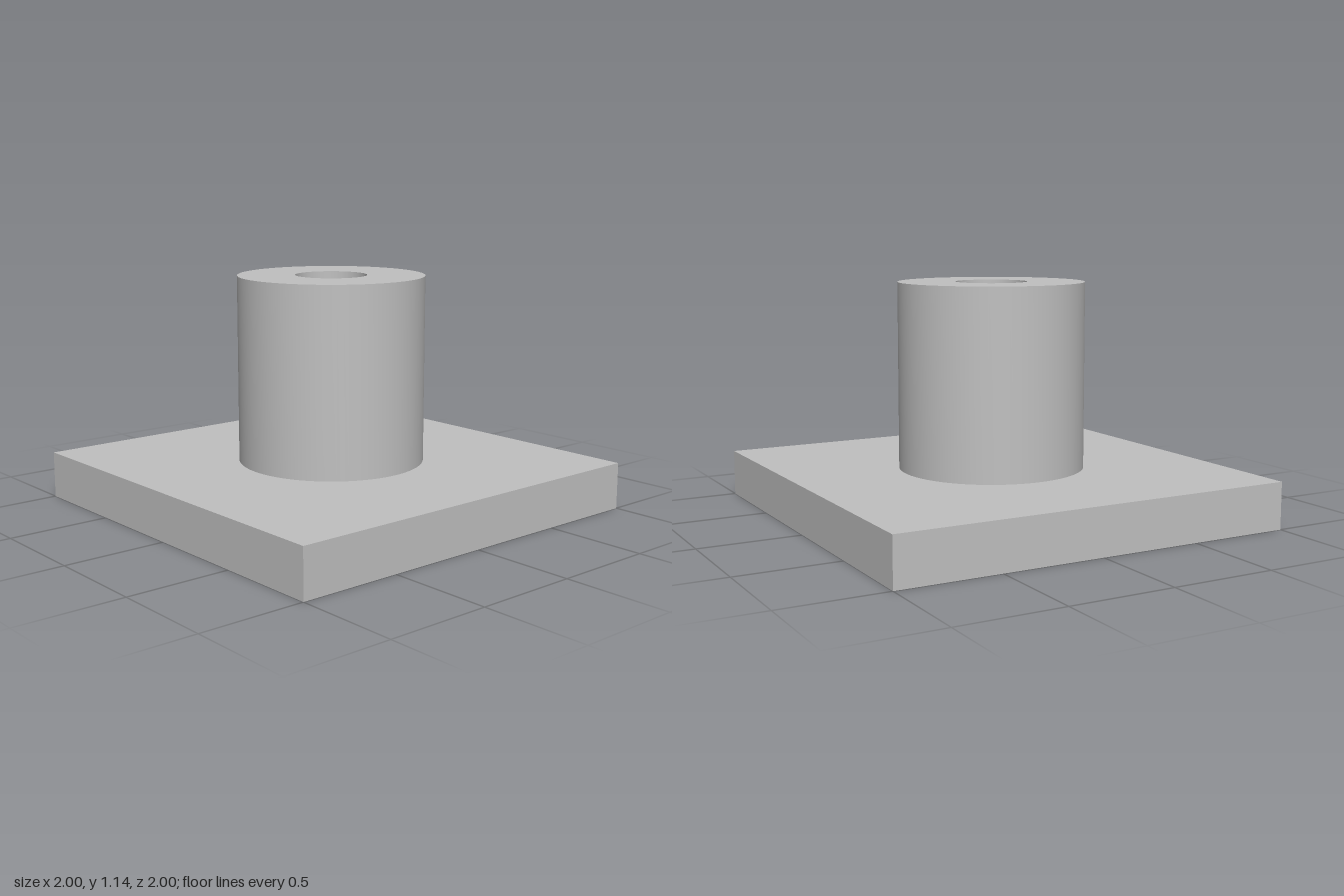
import * as THREE from 'three';
import { toCreasedNormals } from 'three/addons/utils/BufferGeometryUtils.js';

const PLATE_HEIGHT = 0.23, TOP = 1.145, OUTER = 0.457, BORE = 0.175;

export function createModel() {
  const group = new THREE.Group();
  const metal = new THREE.MeshStandardMaterial({ color: 0xc0c0c0 });
  metal.name = 'plainGrey';

  const add = (name, geometry) => {
    const mesh = new THREE.Mesh(toCreasedNormals(geometry, Math.PI / 6), metal);
    mesh.name = name;
    group.add(mesh);
  };

  // Square base plate with the bore cut through it
  const square = new THREE.Shape([[-1, -1], [1, -1], [1, 1], [-1, 1]].map(([x, y]) => new THREE.Vector2(x, y)));
  square.holes.push(new THREE.Path().absarc(0, 0, BORE, 0, Math.PI * 2, true));
  const plate = new THREE.ExtrudeGeometry(square, { depth: PLATE_HEIGHT, bevelEnabled: false, curveSegments: 48 });
  plate.rotateX(-Math.PI / 2);
  add('basePlate', plate);

  // Hollow boss: outer wall, top rim, then down the bore
  const profile = [[OUTER, PLATE_HEIGHT], [OUTER, TOP], [BORE, TOP], [BORE, PLATE_HEIGHT]];
  add('boss', new THREE.LatheGeometry(profile.map(([r, y]) => new THREE.Vector2(r, y)), 96));

  return group;
}
